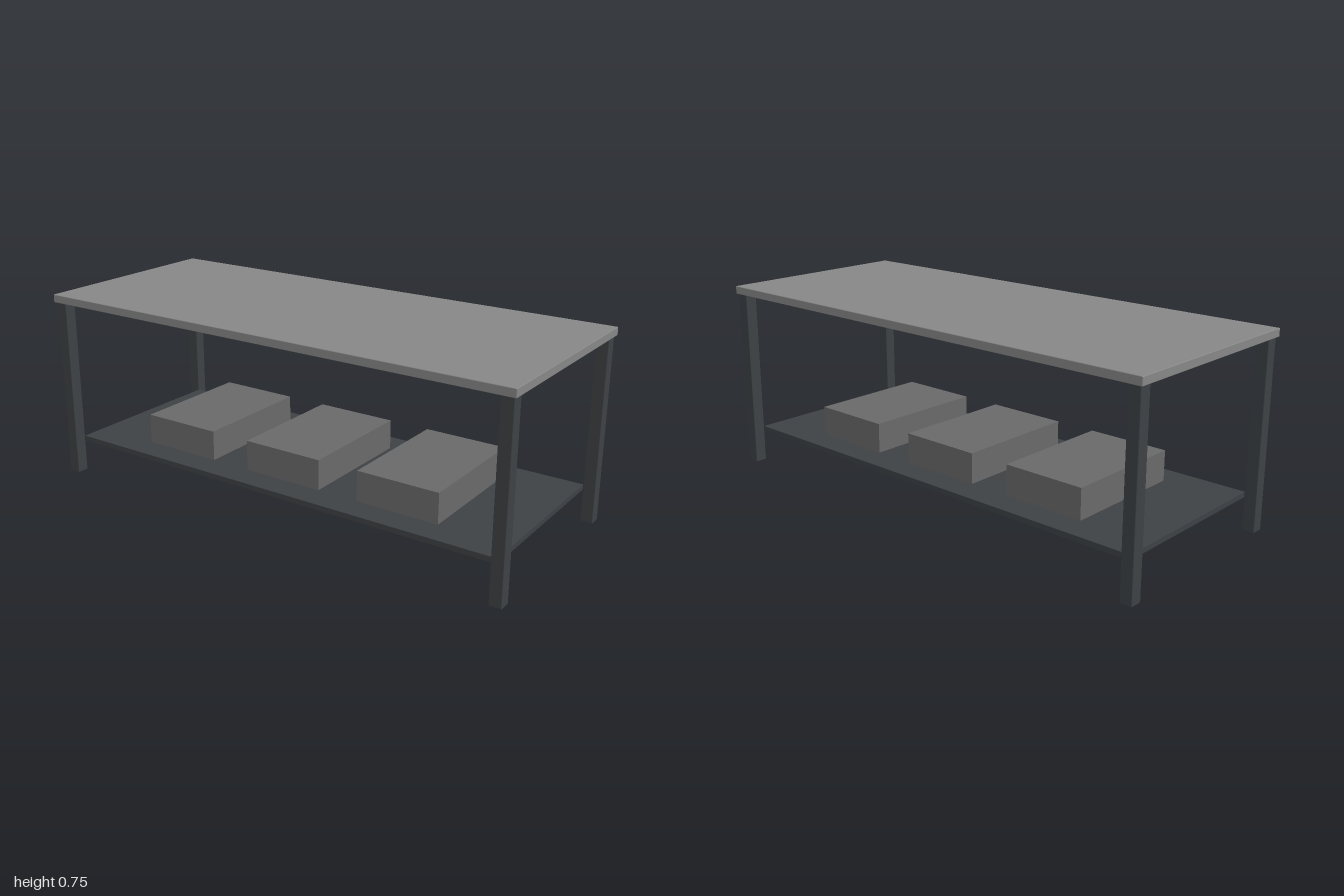
import * as THREE from 'three';
import { RoundedBoxGeometry } from 'three/addons/geometries/RoundedBoxGeometry.js';

export function createModel() {
  const group = new THREE.Group();
  const topMat = new THREE.MeshStandardMaterial({ color: 0x858785 });
  const frameMat = new THREE.MeshStandardMaterial({ color: 0x3d4144 });
  const boxMat = new THREE.MeshStandardMaterial({ color: 0x69696a });

  // Places a box with its underside at height y; bevel softens the edges
  const addBox = (name, mat, [w, h, d], [x, y, z], bevel = 0) => {
    const geometry = bevel
      ? new RoundedBoxGeometry(w, h, d, 2, bevel)
      : new THREE.BoxGeometry(w, h, d);
    const mesh = new THREE.Mesh(geometry, mat);
    mesh.name = name;
    mesh.position.set(x, y + h / 2, z);
    group.add(mesh);
  };

  // Table top
  addBox('tableTop', topMat, [2, 0.032, 0.826], [0, 0.722, 0], 0.003);

  // Four corner legs
  for (const [side, sx] of [['Left', 1], ['Right', -1]]) {
    for (const [end, sz] of [['front', 1], ['back', -1]]) {
      addBox(`${end}${side}Leg`, frameMat, [0.048, 0.722, 0.048], [sx * 0.967, 0, sz * 0.381], 0.003);
    }
  }

  // Lower shelf, fitted between the legs
  addBox('lowerShelf', frameMat, [1.886, 0.022, 0.714], [0, 0.128, 0], 0.001);

  // Storage boxes on the shelf
  [-0.5, 0, 0.5].forEach((x, i) => {
    addBox(`storageBox${i + 1}`, boxMat, [0.333, 0.119, 0.502], [x, 0.15, 0]);
  });

  return group;
}
